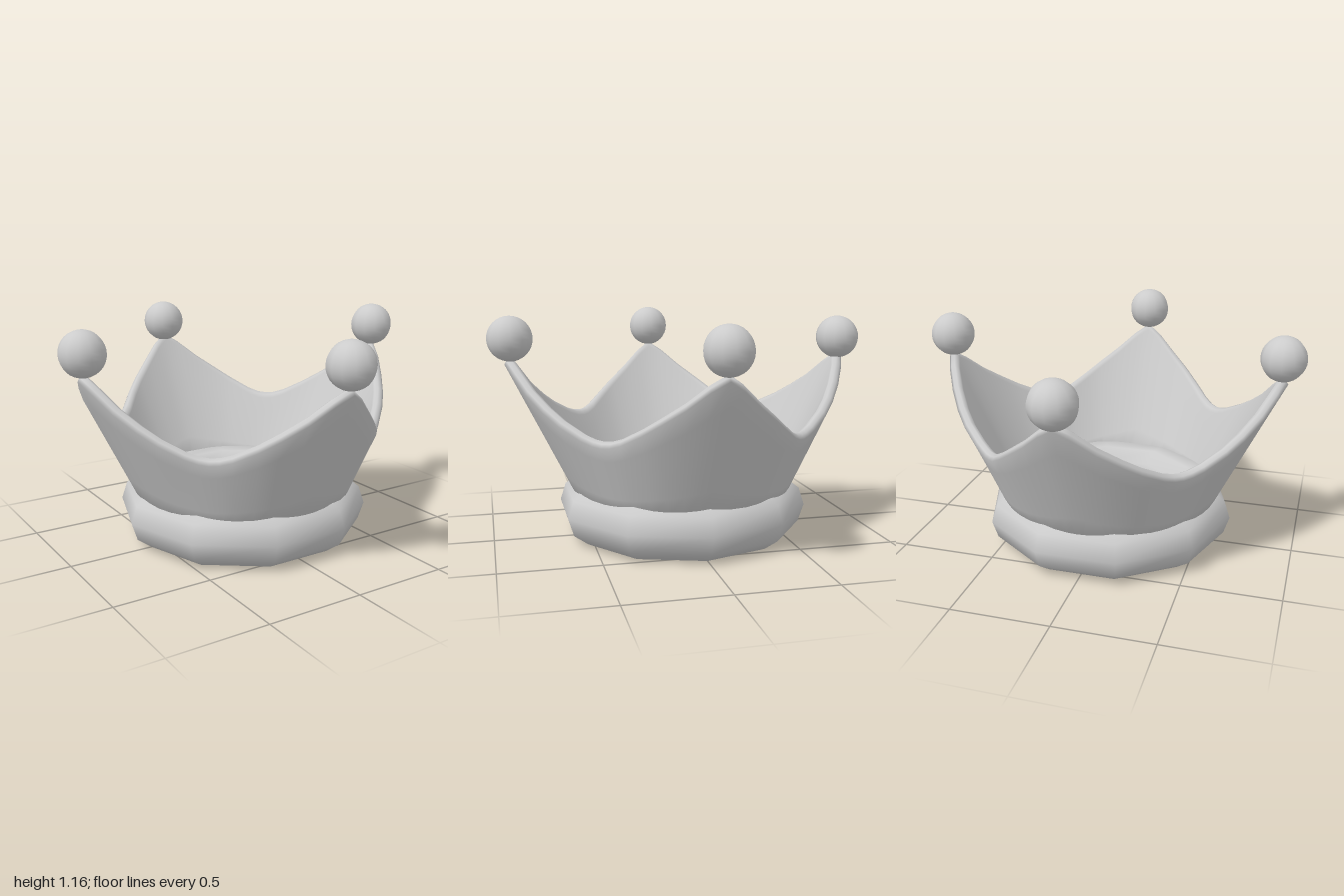
import * as THREE from 'three';

const material = new THREE.MeshStandardMaterial({ color: 0xcccccc });

// One eighth of the rim, from a peak to a valley: [degrees, outer radius, height]
const RIM = [
  [0, 0.915, 0.95], [5, 0.885, 0.9], [12, 0.842, 0.815], [20, 0.8, 0.74],
  [27, 0.766, 0.682], [36, 0.728, 0.624], [41, 0.716, 0.605], [45, 0.714, 0.6],
];

// Mirror the eighth into a quarter, then repeat it four times
function rimStations() {
  const mirrored = RIM.slice(1, -1).reverse().map(([a, r, y]) => [90 - a, r, y]);
  const quarter = [...RIM, ...mirrored];
  const all = [];
  for (let q = 0; q < 4; q++) for (const [a, r, y] of quarter) all.push([a + q * 90, r, y]);
  return all;
}

// Closed wall section: up the outside, over the rounded rim, down the inside
function wallSection(rimR, rimY) {
  const thick = 0.06, baseR = 0.572, baseY = 0.23, rows = 5;
  const outer = [], inner = [];
  for (let i = 0; i <= rows; i++) {
    const t = i / rows;
    const r = baseR + (rimR - baseR) * t;
    const y = baseY + (rimY - 0.03 - baseY) * t;
    outer.push([r, y]);
    inner.unshift([r - thick, y]);
  }
  const lip = [[0.01, 0.01], [0.03, 0], [0.05, 0.01]].map(([dr, dy]) => [rimR - dr, rimY - dy]);
  return [...outer, ...lip, ...inner];
}

function wallGeometry() {
  const stations = rimStations();
  const positions = [], index = [];
  let n = 0;
  for (const [deg, r, y] of stations) {
    const a = THREE.MathUtils.degToRad(deg);
    const section = wallSection(r, y);
    n = section.length;
    for (const [pr, py] of section) positions.push(pr * Math.cos(a), py, pr * Math.sin(a));
  }
  for (let i = 0; i < stations.length; i++) {
    const i2 = (i + 1) % stations.length;
    for (let j = 0; j < n; j++) {
      const j2 = (j + 1) % n;
      const a = i * n + j, b = i2 * n + j, c = i * n + j2, d = i2 * n + j2;
      index.push(a, c, b, b, c, d);
    }
  }
  const geometry = new THREE.BufferGeometry();
  geometry.setAttribute('position', new THREE.Float32BufferAttribute(positions, 3));
  geometry.setIndex(index);
  geometry.computeVertexNormals();
  return geometry;
}

export function createModel() {
  const crown = new THREE.Group();
  crown.name = 'crown';
  const add = (name, geometry, x = 0, y = 0, z = 0) => {
    const mesh = new THREE.Mesh(geometry, material);
    mesh.name = name;
    mesh.position.set(x, y, z);
    crown.add(mesh);
  };

  // Padded ten-sided ring at the base
  add('baseRing', new THREE.TorusGeometry(0.51, 0.155, 10, 10).rotateX(Math.PI / 2), 0, 0.148, 0);

  // Flared wall with four peaks
  add('wall', wallGeometry());

  // Ball on each peak; the back one sits slightly lower
  const ball = new THREE.SphereGeometry(0.115, 12, 16);
  add('leftBall', ball, 0.885, 1.05, 0);
  add('rightBall', ball, -0.885, 1.05, 0);
  add('frontBall', ball, 0, 1.05, 0.885);
  add('backBall', ball, 0, 1.03, -0.885);

  return crown;
}
